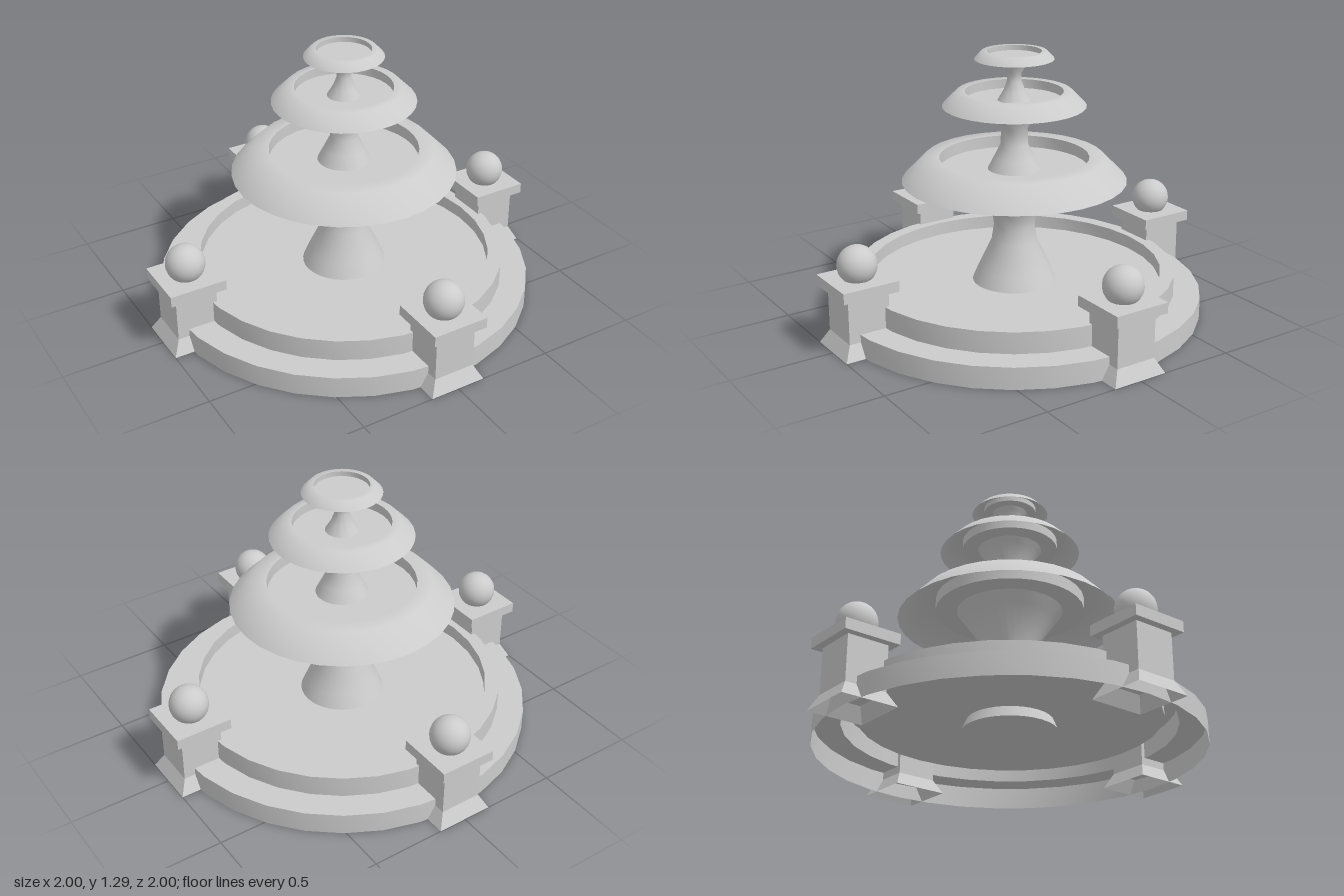
import * as THREE from 'three';
import { toCreasedNormals } from 'three/addons/utils/BufferGeometryUtils.js';

const solid = new THREE.MeshStandardMaterial({ color: 0xcccccc });
const shell = new THREE.MeshStandardMaterial({ color: 0xcccccc, side: THREE.DoubleSide });

function addMesh(parent, name, geometry, material, y = 0) {
  const mesh = new THREE.Mesh(geometry, material);
  mesh.name = name;
  mesh.position.y = y;
  parent.add(mesh);
  return mesh;
}

// Turned part from [radius, height] pairs, 32 sides
function turned(parent, name, profile) {
  const points = profile.map(([r, y]) => new THREE.Vector2(r, y));
  const geometry = toCreasedNormals(new THREE.LatheGeometry(points, 32), 0.9);
  return addMesh(parent, name, geometry, shell);
}

// Hollow bowl: sloping skirt, flat rim, inner wall and floor
function bowl(parent, name, outer, shoulder, inner, bottom, top, floor) {
  turned(parent, name, [[outer, bottom], [shoulder, top], [inner, top], [inner, floor], [0, floor]]);
}

// Corner post: flared hollow foot, shaft, cap slab and ball
function createPost() {
  const post = new THREE.Group();
  post.name = 'post';
  const foot = new THREE.CylinderGeometry(0.103 * Math.SQRT2, 0.14 * Math.SQRT2, 0.07, 4, 1, true);
  foot.rotateY(Math.PI / 4);
  addMesh(post, 'postFoot', toCreasedNormals(foot, 0.5), shell, 0.035);
  addMesh(post, 'postShaft', new THREE.BoxGeometry(0.206, 0.22, 0.206), solid, 0.18);
  addMesh(post, 'postCap', new THREE.BoxGeometry(0.28, 0.052, 0.28), solid, 0.315);
  addMesh(post, 'postBall', new THREE.SphereGeometry(0.094, 24, 16), solid, 0.405);
  return post;
}

export function createModel() {
  const fountain = new THREE.Group();
  fountain.name = 'fountain';

  // Stepped basin, open underneath
  turned(fountain, 'basin', [
    [0.917, 0], [0.917, 0.107], [0.787, 0.107], [0.787, 0.212],
    [0.72, 0.212], [0.72, 0.145], [0, 0.145],
  ]);

  // Flared columns
  turned(fountain, 'lowerColumn', [
    [0, 0.09], [0.23, 0.09], [0.176, 0.215], [0.112, 0.35], [0.1, 0.43], [0.11, 0.51], [0.22, 0.662], [0.257, 0.714],
  ]);
  turned(fountain, 'middleColumn', [
    [0.128, 0.716], [0.098, 0.775], [0.066, 0.84], [0.064, 0.92], [0.14, 1.03], [0.157, 1.054],
  ]);
  turned(fountain, 'upperColumn', [
    [0.08, 1.056], [0.053, 1.1], [0.034, 1.15], [0.035, 1.19], [0.075, 1.25], [0.085, 1.266],
  ]);

  // Three tiers of bowls
  bowl(fountain, 'lowerBowl', 0.545, 0.435, 0.362, 0.663, 0.775, 0.715);
  bowl(fountain, 'middleBowl', 0.345, 0.275, 0.235, 1.03, 1.1, 1.055);
  bowl(fountain, 'upperBowl', 0.19, 0.155, 0.13, 1.255, 1.292, 1.267);

  // Four posts around the basin
  for (let i = 0; i < 4; i++) {
    const angle = (i * Math.PI) / 2;
    const post = createPost();
    post.position.set(0.86 * Math.sin(angle), 0, 0.86 * Math.cos(angle));
    post.rotation.y = angle;
    fountain.add(post);
  }
  return fountain;
}
